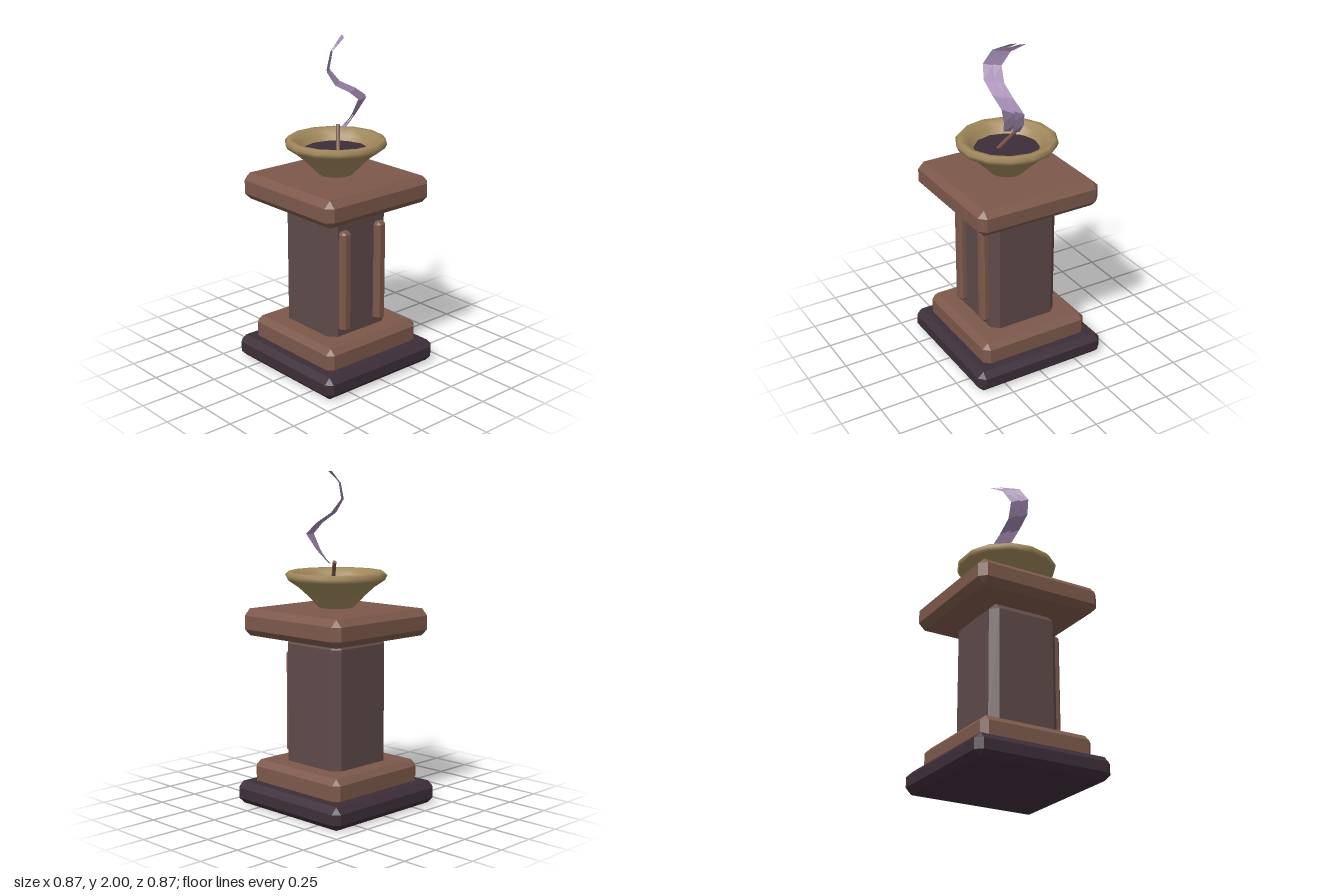
import * as THREE from 'three';
import { ConvexGeometry } from 'three/addons/geometries/ConvexGeometry.js';

function paint(name, color, extra = {}) {
  const m = new THREE.MeshStandardMaterial({ color, ...extra });
  m.name = name;
  return m;
}

// Box with all edges and corners cut by b
function chamferBox(w, h, d, b) {
  const pts = [];
  const [x, y, z] = [w / 2, h / 2, d / 2];
  for (const i of [-1, 1]) for (const j of [-1, 1]) for (const k of [-1, 1]) {
    pts.push(
      new THREE.Vector3(i * x, j * (y - b), k * (z - b)),
      new THREE.Vector3(i * (x - b), j * y, k * (z - b)),
      new THREE.Vector3(i * (x - b), j * (y - b), k * z));
  }
  return new ConvexGeometry(pts);
}

// Ribbon from rows of [y, centre x, width, centre z], shifted sideways and in depth
function ribbon(rows, dx, dz) {
  const pos = [], index = [];
  rows.forEach(([y, x, w, z], i) => {
    pos.push(x + dx - w / 2, y, z + dz + 0.018, x + dx + w / 2, y, z + dz - 0.018);
    if (i) {
      const a = 2 * i - 2;
      index.push(a, a + 1, a + 3, a, a + 3, a + 2);
    }
  });
  const g = new THREE.BufferGeometry();
  g.setAttribute('position', new THREE.Float32BufferAttribute(pos, 3));
  g.setIndex(index);
  const flat = g.toNonIndexed();
  flat.computeVertexNormals();
  return flat;
}

export function createModel() {
  const group = new THREE.Group();
  const dark = paint('dark stone', 0x3d2e39);
  const wood = paint('warm wood', 0x7d584b);
  const shaftMat = paint('shaft brown', 0x5e4a49);
  const gold = paint('dull gold', 0xa0875a, { side: THREE.DoubleSide });
  const smokeMat = paint('pale violet', 0xa088b0, { side: THREE.DoubleSide, flatShading: true });

  const add = (name, geometry, material, x = 0, y = 0, z = 0) => {
    const m = new THREE.Mesh(geometry, material);
    m.name = name;
    m.position.set(x, y, z);
    group.add(m);
    return m;
  };

  // Pedestal: stacked square blocks [name, half width, bottom, top, chamfer]
  for (const [name, r, y0, y1, b, mat] of [
    ['base', 0.433, 0, 0.137, 0.037, dark],
    ['plinth', 0.357, 0.11, 0.27, 0.035, wood],
    ['shaft', 0.225, 0.2, 1.03, 0.045, shaftMat],
    ['cap', 0.402, 1.03, 1.192, 0.04, wood],
  ]) add(name, chamferBox(2 * r, y1 - y0, 2 * r, b), mat, 0, (y0 + y1) / 2, 0);

  // Upright strips on the front of the shaft
  for (const x of [-0.14, 0.135])
    add('frontStrip', chamferBox(0.07, 0.625, 0.06, 0.017), wood, x, 0.617, 0.238);

  // Bowl
  const profile = [
    [0, 1.2], [0.104, 1.2], [0.104, 1.2], [0.177, 1.275], [0.23, 1.323], [0.292, 1.365],
    [0.304, 1.392], [0.285, 1.413], [0.255, 1.41], [0.22, 1.375], [0.185, 1.33], [0.1, 1.25],
  ].map(([x, y]) => new THREE.Vector2(x, y));
  add('bowl', new THREE.LatheGeometry(profile.slice(2), 14, Math.PI / 2), gold);
  add('bowlFoot', new THREE.CircleGeometry(0.104, 14).rotateX(Math.PI / 2), gold, 0, 1.2, 0);
  add('ash', new THREE.CircleGeometry(0.196, 12).rotateX(-Math.PI / 2), dark, 0, 1.345, 0);

  // Leaning incense stick
  const from = new THREE.Vector3(-0.025, 1.335, 0.05), to = new THREE.Vector3(0.055, 1.475, -0.042);
  const dir = to.clone().sub(from);
  const stick = add('incenseStick', new THREE.CylinderGeometry(0.012, 0.012, dir.length(), 6), wood);
  stick.position.copy(from).add(to).multiplyScalar(0.5);
  stick.quaternion.setFromUnitVectors(new THREE.Vector3(0, 1, 0), dir.normalize());

  // Two curling smoke ribbons
  const path = [
    [1.465, 0.055, 0.02, 0], [1.545, 0.12, 0.06, 0.025], [1.64, 0.16, 0.09, 0.055],
    [1.7, 0.07, 0.08, 0.066], [1.755, -0.04, 0.07, 0.06], [1.835, -0.095, 0.05, 0.04],
    [1.93, -0.042, 0.045, 0.01], [2, 0.078, 0.012, -0.028],
  ];
  add('frontSmoke', ribbon(path, -0.016, 0.02), smokeMat);
  add('backSmoke', ribbon(path, 0.016, -0.02), smokeMat);

  return group;
}
